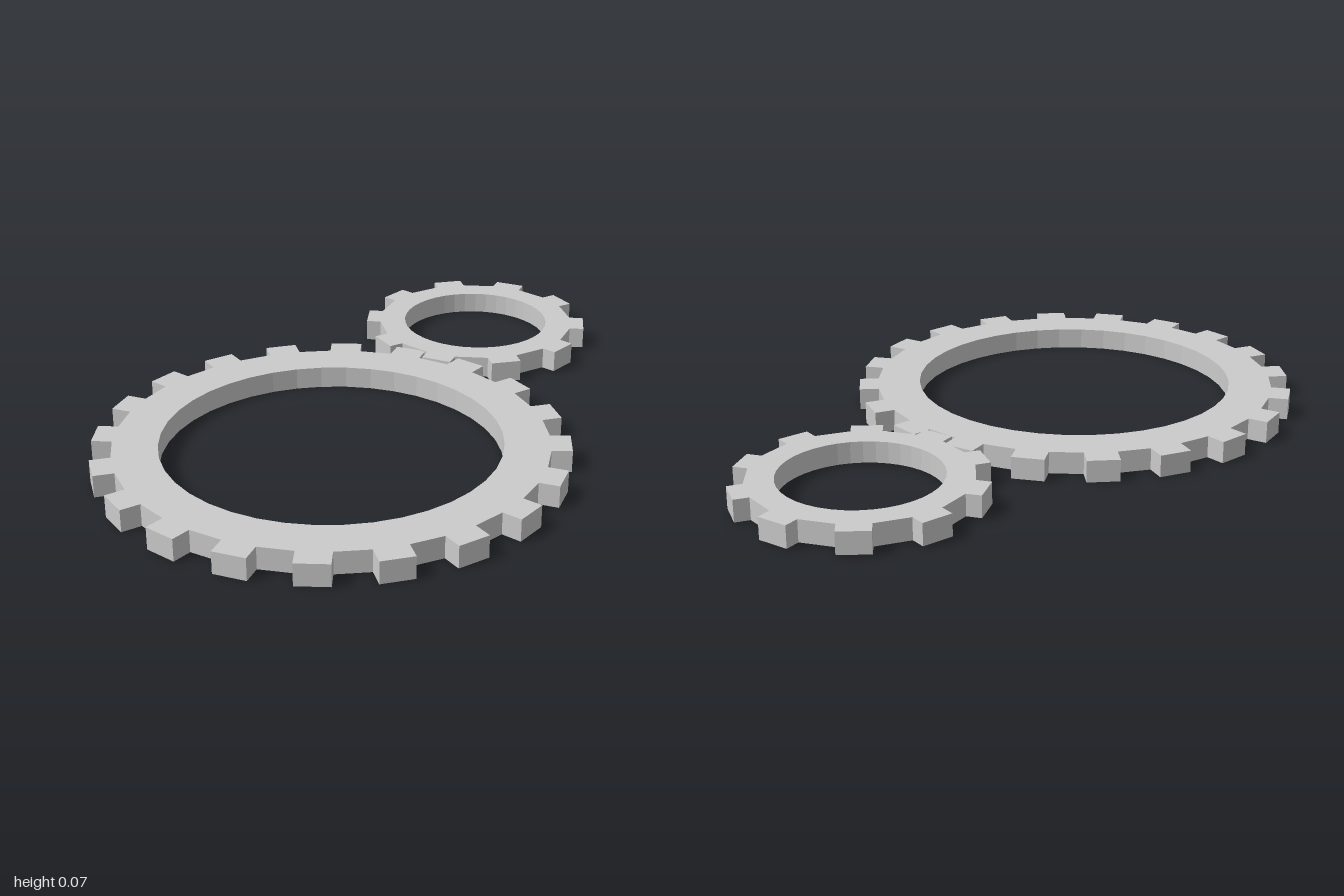
import * as THREE from 'three';

const material = new THREE.MeshStandardMaterial({
  color: 0xcccccc, flatShading: true, side: THREE.DoubleSide,
});

// Ring gear with straight-sided teeth: a shell with a top and walls, open underneath
function makeGear(name, { teeth, tip, root, hole, toothWidth, height, phase, holeSides }) {
  const half = toothWidth / 2;
  const rootX = Math.sqrt(root * root - half * half);
  const corners = [[rootX, -half], [tip, -half], [tip, half], [rootX, half]];
  const outline = [];
  for (let i = 0; i < teeth; i++) {
    const angle = phase + (i / teeth) * Math.PI * 2;
    for (const [x, y] of corners) {
      outline.push(new THREE.Vector2(x, y).rotateAround(new THREE.Vector2(), angle));
    }
  }
  const shape = new THREE.Shape(outline);

  // Round opening
  const opening = [];
  for (let i = 0; i < holeSides; i++) {
    const a = -(i / holeSides) * Math.PI * 2;
    opening.push(new THREE.Vector2(Math.cos(a) * hole, Math.sin(a) * hole));
  }
  shape.holes.push(new THREE.Path(opening));

  const solid = new THREE.ExtrudeGeometry(shape, { depth: height, bevelEnabled: false });
  solid.rotateX(-Math.PI / 2);

  // Leave out the underside
  const p = solid.attributes.position;
  const kept = [];
  for (let i = 0; i < p.count; i += 3) {
    if (Math.max(p.getY(i), p.getY(i + 1), p.getY(i + 2)) < height / 2) continue;
    for (let j = i; j < i + 3; j++) kept.push(p.getX(j), p.getY(j), p.getZ(j));
  }
  const geometry = new THREE.BufferGeometry();
  geometry.setAttribute('position', new THREE.Float32BufferAttribute(kept, 3));
  geometry.computeVertexNormals();

  const mesh = new THREE.Mesh(geometry, material);
  mesh.name = name;
  return mesh;
}

export function createModel() {
  const group = new THREE.Group();
  group.name = 'gearPair';

  // Large gear at the front
  const large = makeGear('largeGear', {
    teeth: 20, tip: 0.672, root: 0.615, hole: 0.485, toothWidth: 0.095,
    height: 0.065, phase: 0.02, holeSides: 40,
  });
  large.position.set(0, 0, 0.326);

  // Small gear meshing behind it
  const small = makeGear('smallGear', {
    teeth: 10, tip: 0.355, root: 0.314, hole: 0.232, toothWidth: 0.093,
    height: 0.065, phase: Math.PI / 2 - 0.029, holeSides: 40,
  });
  small.position.set(0.1, 0.003, -0.645);

  group.add(large, small);
  return group;
}
